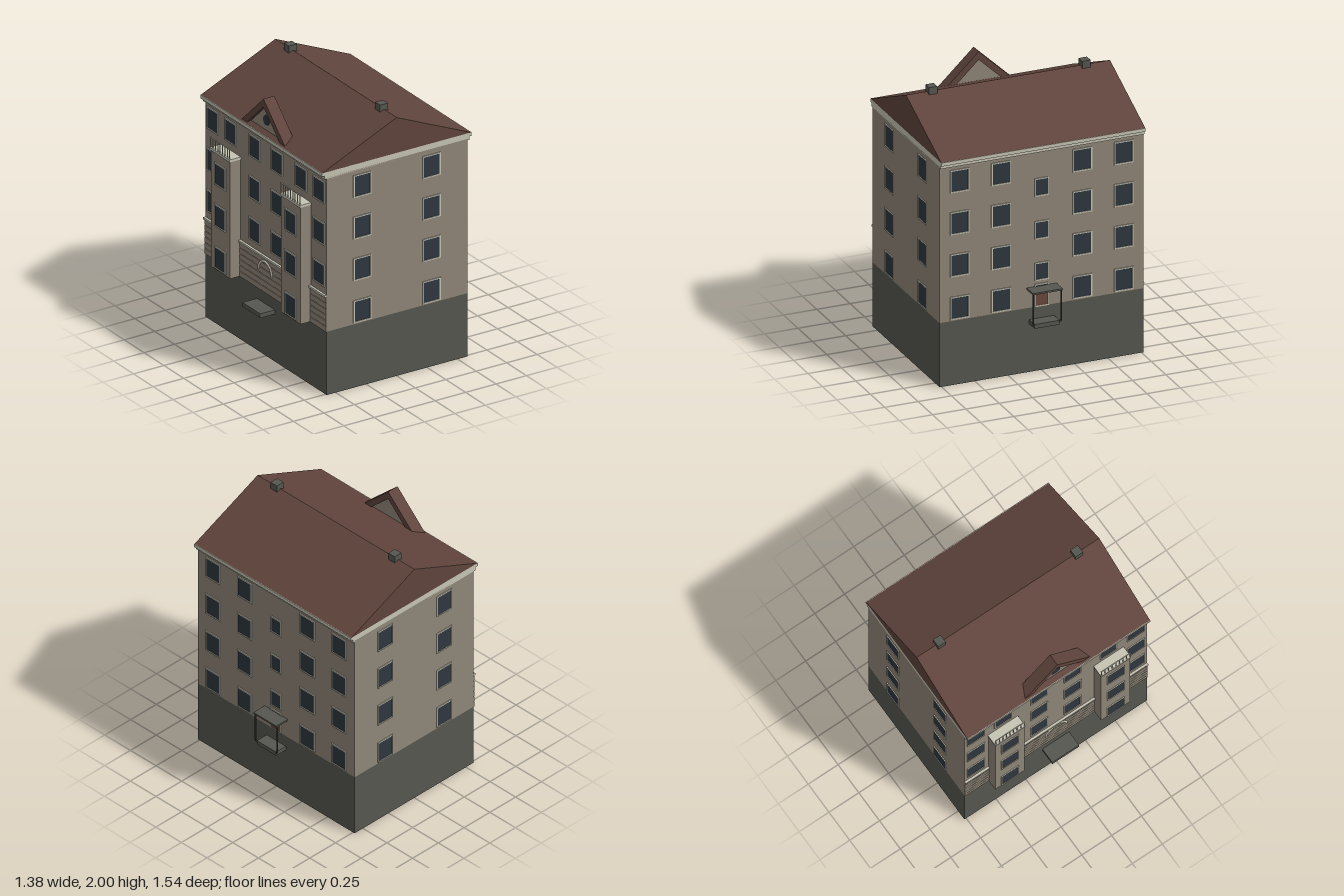
import * as THREE from 'three';

const mat = (name, color, side = THREE.FrontSide) => {
  const m = new THREE.MeshStandardMaterial({ color });
  m.name = name;
  m.side = side;
  return m;
};

export function createModel() {
  const wall = mat('wallPlaster', 0x8f8678);
  const trim = mat('paleTrim', 0xc6c4b4);
  const stone = mat('greyStone', 0x565750);
  const roofRed = mat('roofTile', 0x5f443c);
  const glass = mat('windowGlass', 0x2e373f);
  const doorRed = mat('doorWood', 0x68473c);
  const metal = mat('darkMetal', 0x3c3b38);

  const model = new THREE.Group();
  model.name = 'apartmentHouse';
  const XL = -0.575, XR = 0.58, Z = 0.765;

  const add = (name, geo, material, parent = model) => {
    const mesh = new THREE.Mesh(geo, material);
    mesh.name = name;
    parent.add(mesh);
    return mesh;
  };
  // box given by its limits on each axis
  const box = (name, [x0, x1], [y0, y1], [z0, z1], material, parent) => {
    const m = add(name, new THREE.BoxGeometry(x1 - x0, y1 - y0, z1 - z0), material, parent);
    m.position.set((x0 + x1) / 2, (y0 + y1) / 2, (z0 + z1) / 2);
    return m;
  };
  const polygon = pts => new THREE.Shape(pts.map(p => new THREE.Vector2(...p)));
  const extrude = (shape, depth) =>
    new THREE.ExtrudeGeometry(shape, { depth, bevelEnabled: false, curveSegments: 16 });

  // Base, walls and cornice
  box('basement', [XL, XR], [0, 0.48], [-Z, Z], stone);
  box('walls', [XL, XR], [0.48, 1.65], [-Z, Z], wall);
  box('lowerCornice', [-0.592, 0.597], [1.64, 1.668], [-Z, Z], trim);
  box('upperCornice', [-0.615, 0.615], [1.666, 1.692], [-Z, Z], trim);

  // Gable roof with two ridge chimneys
  const roof = add('roof', extrude(polygon([[-0.615, 1.69], [0.615, 1.69], [0, 1.96]]), 2 * Z), roofRed);
  roof.position.z = -Z;
  for (const z of [-0.575, 0.575]) box('chimney', [-0.032, 0.032], [1.945, 2], [z - 0.031, z + 0.031], stone);

  // Windows: frame with a hole and a glass plate, facing +z before turning
  const FACING = { front: 0, right: Math.PI / 2, back: Math.PI, left: -Math.PI / 2 };
  const window_ = (face, x, y, z, w = 0.145, h = 0.17) => {
    const g = new THREE.Group();
    g.name = 'window';
    const rect = (a, b) => [[-a, -b], [a, -b], [a, b], [-a, b]];
    const frame = polygon(rect(w / 2, h / 2));
    frame.holes.push(polygon(rect(w / 2 - 0.009, h / 2 - 0.009)));
    add('windowFrame', extrude(frame, 0.007), trim, g);
    box('windowGlass', [-w / 2 + 0.008, w / 2 - 0.008], [-h / 2 + 0.008, h / 2 - 0.008], [0, 0.003], glass, g);
    g.position.set(x, y, z);
    g.rotation.y = FACING[face];
    model.add(g);
  };
  const floors = [0.575, 0.895, 1.21, 1.525];
  floors.forEach((y, i) => {
    for (const x of [-0.285, 0.285]) {
      window_('front', x, y, Z);
      window_('back', x, y, -Z);
    }
    for (const z of [-0.615, -0.305, 0.305, 0.615]) window_('right', XR, y, z);
    for (const s of [-1, 1]) {
      if (i > 0) {
        window_('left', XL, y, s * 0.67);
        window_('left', XL, y, s * 0.14);
      }
      window_('left', i < 3 ? -0.66 : XL, y, s * 0.443);
    }
  });
  for (const y of [0.742, 1.052, 1.373]) window_('right', XR, y, 0, 0.105, 0.135);

  // Entrance with door, step and canopy on posts
  window_('right', XR, 0.565, 0, 0.105, 0.17);
  box('door', [XR, XR + 0.005], [0.485, 0.59], [-0.044, 0.044], doorRed);
  box('entranceStep', [XR, 0.675], [0.36, 0.392], [-0.094, 0.094], stone);
  box('canopy', [XR, 0.69], [0.62, 0.632], [-0.112, 0.112], stone);
  for (const z of [-0.105, 0.105]) {
    box('canopyPost', [0.672, 0.68], [0.39, 0.62], [z - 0.004, z + 0.004], metal);
    box('stepBracket', [0.668, 0.68], [0.385, 0.393], [Math.min(z, z * 0.85), Math.max(z, z * 0.85)], metal);
  }

  // Bays with balustraded balconies
  for (const s of [-1, 1]) {
    const c = s * 0.443;
    box('bay', [-0.66, XL], [0.48, 1.37], [c - 0.122, c + 0.122], wall);
    box('bayTopTrim', [-0.667, XL], [1.366, 1.385], [c - 0.126, c + 0.126], trim);
    for (let i = 0; i < 9; i++) {
      const z = c - 0.12 + i * 0.03;
      box('baluster', [-0.665, -0.66], [1.385, 1.46], [z - 0.003, z + 0.003], trim);
    }
    box('balconyRail', [-0.666, -0.659], [1.458, 1.465], [c - 0.124, c + 0.124], trim);
  }

  // Courses of masonry and string course between and beside the bays
  for (const [z0, z1] of [[-Z, -0.565], [-0.321, 0.321], [0.565, Z]]) {
    for (let i = 0; i < 6; i++) {
      const y = 0.48 + i * 0.044;
      box('masonryCourse', [-0.582, XL], [y, y + 0.039], [z0, z1], wall);
    }
    box('stringCourse', [-0.592, XL], [0.742, 0.758], [z0, z1], trim);
  }

  // Arch moulding and step
  const arch = add('doorArch', new THREE.TorusGeometry(0.085, 0.009, 6, 20, Math.PI), trim);
  arch.position.set(-0.582, 0.63, 0);
  arch.rotation.y = -Math.PI / 2;
  box('rearStep', [-0.695, XL], [0.36, 0.392], [-0.112, 0.112], stone);

  // Roof pediment: chevron, wall panel and round window
  const chevron = polygon([[-0.28, 1.69], [-0.215, 1.69], [0, 1.893], [0.215, 1.69], [0.28, 1.69], [0, 1.955]]);
  const ped = add('pedimentRoof', extrude(chevron, 0.09), roofRed);
  ped.position.x = -0.506;
  ped.rotation.y = -Math.PI / 2;
  const panel = add('pedimentWall', extrude(polygon([[-0.225, 1.69], [0.225, 1.69], [0, 1.9]]), 0.045), wall);
  panel.position.x = -0.525;
  panel.rotation.y = -Math.PI / 2;
  const round = add('roundWindow', new THREE.CylinderGeometry(0.037, 0.037, 0.008, 20), glass);
  round.position.set(-0.571, 1.785, 0);
  round.rotation.z = Math.PI / 2;

  return model;
}
